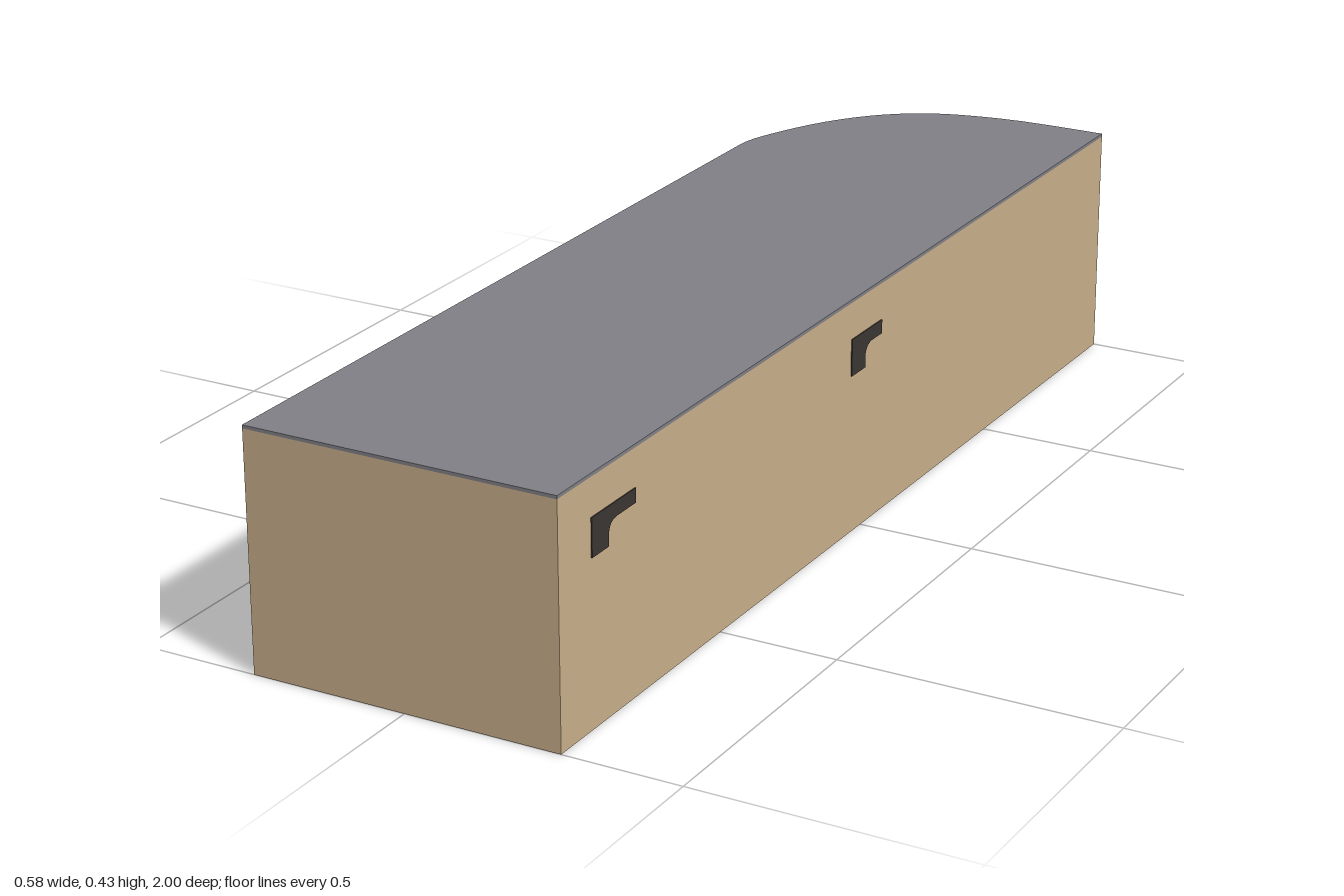
import * as THREE from 'three';
import { toCreasedNormals } from 'three/addons/utils/BufferGeometryUtils.js';

const HALF_WIDTH = 0.286, TOP = 0.43, LID = 0.006;

// Plan outline: a long block with one rounded back corner (shape y = -z)
function planShape() {
  const corner = [[0.286, 1], [0.12, 0.997], [0, 0.976], [-0.08, 0.943], [-0.15, 0.888],
    [-0.21, 0.81], [-0.255, 0.72], [-0.28, 0.65], [-HALF_WIDTH, 0.61]];
  const curve = new THREE.SplineCurve(corner.map(([x, y]) => new THREE.Vector2(x, y)));
  return new THREE.Shape([
    new THREE.Vector2(-HALF_WIDTH, -1),
    new THREE.Vector2(HALF_WIDTH, -1),
    ...curve.getPoints(24),
  ]);
}

function slab(y, height) {
  let g = new THREE.ExtrudeGeometry(planShape(), { depth: height, bevelEnabled: false });
  g.rotateX(-Math.PI / 2);
  g.translate(0, y, 0);
  return toCreasedNormals(g, 0.5);
}

// Hooked bracket: a leg at the front and a slim bar toward the back
function bracketShape(z, length) {
  const top = 0.358, bar = 0.333, bottom = 0.291, leg = 0.05;
  const s = new THREE.Shape();
  s.moveTo(z, top);
  s.lineTo(z - length, top);
  s.lineTo(z - length, bar);
  s.lineTo(z - leg - 0.027, bar);
  s.quadraticCurveTo(z - leg, bar, z - leg, bar - 0.024);
  s.lineTo(z - leg, bottom);
  s.lineTo(z, bottom);
  s.closePath();
  return s;
}

export function createModel() {
  const tan = new THREE.MeshStandardMaterial({ name: 'tan wall', color: 0xc8af8a });
  const grey = new THREE.MeshStandardMaterial({ name: 'grey roof', color: 0x808086 });
  const dark = new THREE.MeshStandardMaterial({ name: 'dark bracket', color: 0x3b3632 });
  const group = new THREE.Group();
  const add = (name, geometry, material) => {
    const mesh = new THREE.Mesh(geometry, material);
    mesh.name = name;
    group.add(mesh);
    return mesh;
  };

  add('body', slab(0, TOP - LID), tan);
  add('roof', slab(TOP - LID, LID), grey);

  // Two thin brackets on each long side
  for (const [place, z, length] of [['front', 0.904, 0.133], ['middle', 0.043, 0.112]]) {
    for (const side of [1, -1]) {
      const g = new THREE.ExtrudeGeometry(bracketShape(z, length), { depth: 0.004, bevelEnabled: false });
      g.rotateY(-Math.PI / 2);
      g.translate(side * HALF_WIDTH + 0.002, 0, 0);
      add(`${place}Bracket${side > 0 ? 'Left' : 'Right'}`, g, dark);
    }
  }
  return group;
}
